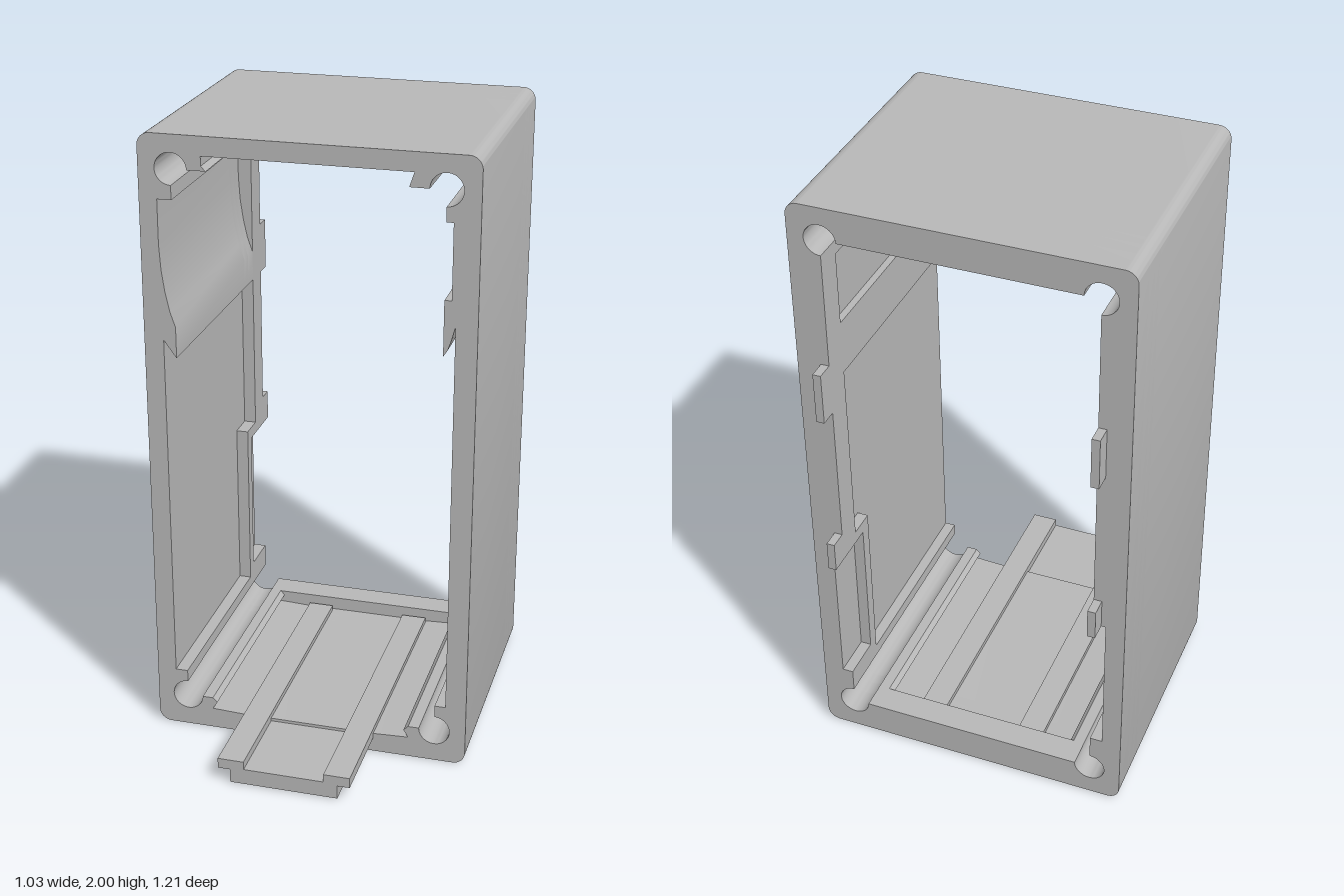
import * as THREE from 'three';
import { toCreasedNormals } from 'three/addons/utils/BufferGeometryUtils.js';

const IN = 0.415, LOW = 0.11, HIGH = 1.895, HOLE = 0.05;

// Rounded outer outline of the sleeve
function outerOutline() {
  const s = new THREE.Shape(), w = 0.517, r = 0.04, q = Math.PI / 2;
  s.absarc(w - r, r, r, -q, 0);
  s.absarc(w - r, 2 - r, r, 0, q);
  s.absarc(-w + r, 2 - r, r, q, 2 * q);
  s.absarc(-w + r, r, r, 2 * q, 3 * q);
  s.closePath();
  return s;
}

// Opening with four screw channels; each list adds recesses along one wall
function opening({ left = [], bottom = [], right = [], top = [] }) {
  const p = new THREE.Path(), q = Math.PI / 2;
  const trace = (points) => points.forEach(([x, y]) => p.lineTo(x, y));
  p.moveTo(-IN, HIGH - HOLE);
  trace(left);
  p.absarc(-IN, LOW, HOLE, q, 4 * q);
  trace(bottom);
  p.absarc(IN, LOW, HOLE, 2 * q, 5 * q);
  trace(right);
  p.absarc(IN, HIGH, HOLE, 3 * q, 6 * q);
  trace(top);
  p.absarc(-IN, HIGH, HOLE, 0, 3 * q);
  p.closePath();
  return p;
}

function extrude(shape, z0, z1) {
  const g = new THREE.ExtrudeGeometry(shape, { depth: z1 - z0, bevelEnabled: false, curveSegments: 14 });
  g.translate(0, 0, z0);
  return toCreasedNormals(g, 0.6);
}

export function createModel() {
  const model = new THREE.Group();
  const grey = new THREE.MeshStandardMaterial({ color: 0xb8b8b8 });
  grey.name = 'plain grey';
  const add = (name, geometry) => {
    const m = new THREE.Mesh(geometry, grey);
    m.name = name;
    model.add(m);
  };

  // Side wall profiles above the lower recess
  const leftUpper = [[-IN, 1.8], [-0.46, 1.8], [-0.46, 1.66], [-0.455, 1.58], [-0.445, 1.51],
    [-0.432, 1.45], [-IN, 1.4], [-IN, 1.3], [-0.455, 1.355]];
  const rightUpper = [[0.45, 1.485], [0.438, 1.44], [0.428, 1.41], [IN, 1.39],
    [IN, 1.565], [0.437, 1.565], [0.437, 1.8], [IN, 1.8]];
  const floor = [[-0.33, LOW], [-0.315, 0.095], [-0.33, 0.07], [-0.22, 0.065], [0.22, 0.065],
    [0.33, 0.07], [0.315, 0.095], [0.33, LOW]];
  const roof = [[0.305, HIGH], [0.32, 1.94], [-0.32, 1.94], [-0.32, 1.91], [-0.305, HIGH]];
  const pocketLeft = [[-IN, 0.73], [-0.455, 0.73], [-0.455, 0.24], [-IN, 0.24]];
  const pocketRight = [[0.45, 0.24], [0.45, 0.73], [IN, 0.73]];
  const pocketRightStart = [[IN, 0.24], ...pocketRight];
  const ledgeLeft = [...leftUpper, [-0.455, 0.77], [-IN, 0.77]];
  const ledgeRight = [[IN, 0.77], [0.45, 0.77], ...rightUpper];

  // Sleeve built as slices from the back rim to the open front
  const slices = [
    ['backRim', -0.55, -0.46, { left: pocketLeft, right: pocketRightStart }],
    ['pocketSlice', -0.46, -0.41, { left: [...ledgeLeft, ...pocketLeft],
      right: [...pocketRightStart, ...ledgeRight], bottom: floor, top: roof }],
    ['pocketBar', -0.41, -0.37, { left: ledgeLeft, right: ledgeRight, bottom: floor, top: roof }],
    ['mainSleeve', -0.37, 0.31, { left: [...leftUpper, [-0.455, 0.2], [-IN, 0.2]],
      right: [[IN, 0.2], [0.45, 0.2], ...rightUpper], bottom: floor, top: roof }],
  ];
  for (const [name, z0, z1, walls] of slices) {
    const shape = outerOutline();
    shape.holes.push(opening(walls));
    add(name, extrude(shape, z0, z1));
  }

  // Channelled tongue running out of the floor
  const tongue = new THREE.Shape([[-0.175, 0.002], [0.175, 0.002], [0.175, 0.048], [0.215, 0.048],
    [0.215, 0.082], [0.13, 0.082], [0.13, 0.055], [-0.13, 0.055], [-0.13, 0.082], [-0.215, 0.082],
    [-0.215, 0.048], [-0.175, 0.048]].map(([x, y]) => new THREE.Vector2(x, y)));
  add('tongue', extrude(tongue, -0.45, 0.605));

  // Locating tabs on the back rim
  for (const side of [-1, 1]) {
    for (const [y0, y1] of [[0.73, 0.83], [1.3, 1.47]]) {
      const tab = new THREE.BoxGeometry(0.026, y1 - y0, 0.075);
      tab.translate(side * 0.428, (y0 + y1) / 2, -0.5685);
      add(side > 0 ? 'leftTab' : 'rightTab', tab);
    }
  }
  return model;
}
